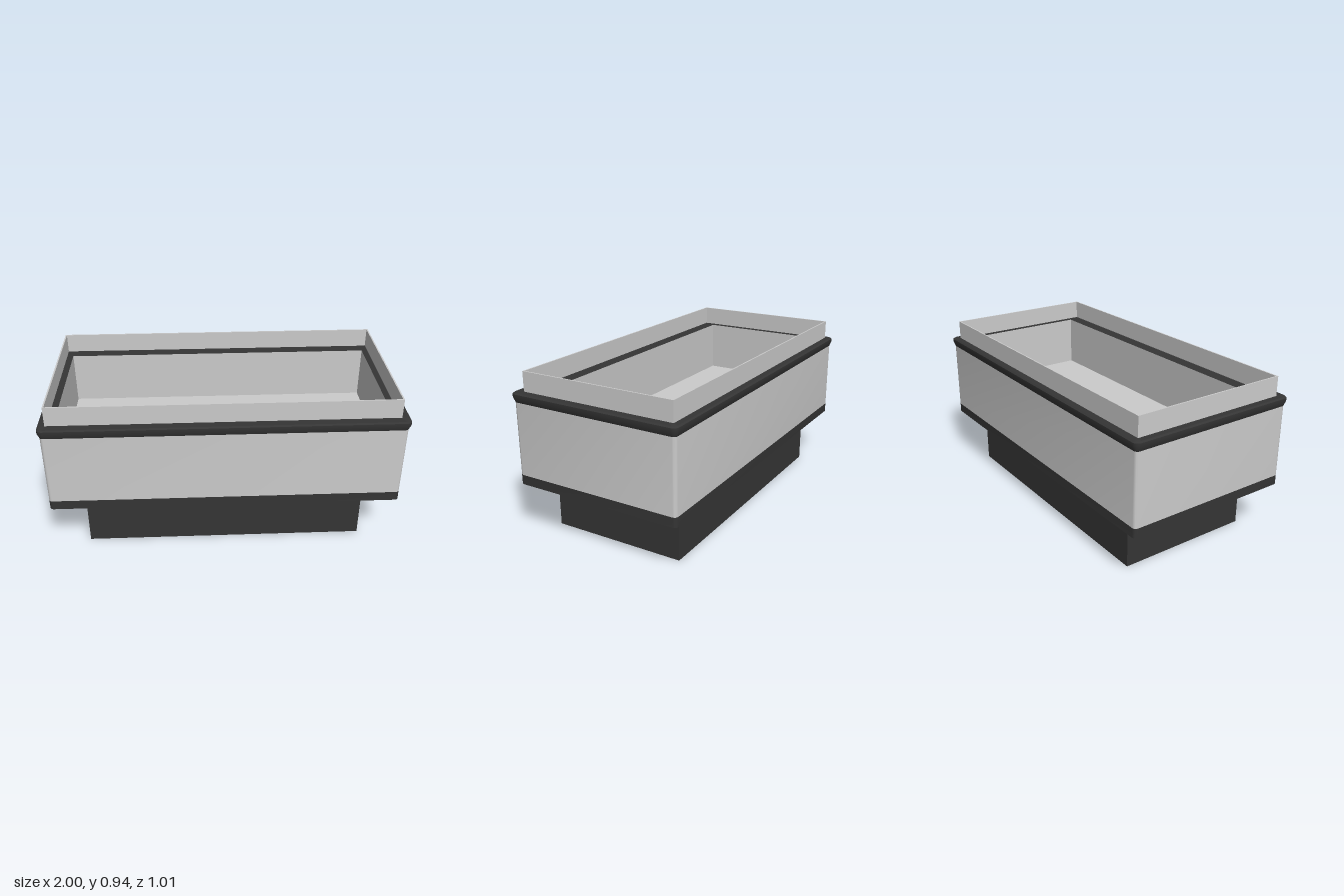
import * as THREE from 'three';
import { toCreasedNormals } from 'three/addons/utils/BufferGeometryUtils.js';

const CORNER_STEPS = 4;

// Rounded rectangle ring at height y: [y, halfX, halfZ, cornerRadius, centreX, centreZ]
function ring([y, hx, hz, r = 0, cx = 0, cz = 0]) {
  const points = [];
  for (let q = 0; q < 4; q++) {
    const sx = q === 0 || q === 3 ? 1 : -1;
    const sz = q < 2 ? 1 : -1;
    for (let k = 0; k <= CORNER_STEPS; k++) {
      const a = (q + k / CORNER_STEPS) * Math.PI / 2;
      points.push(new THREE.Vector3(
        cx + sx * (hx - r) + r * Math.cos(a), y, cz + sz * (hz - r) + r * Math.sin(a)));
    }
  }
  return points;
}

// Skin joining the rings in order; outside goes up, inside goes down
function loft(sections) {
  const rings = sections.map(ring);
  const positions = [];
  const tri = new THREE.Triangle();
  const face = (a, b, c) => {
    if (tri.set(a, b, c).getArea() > 1e-9) {
      for (const p of [a, b, c]) positions.push(p.x, p.y, p.z);
    }
  };
  for (let s = 0; s < rings.length - 1; s++) {
    const lo = rings[s], hi = rings[s + 1];
    for (let i = 0; i < lo.length; i++) {
      const j = (i + 1) % lo.length;
      face(lo[i], hi[i], lo[j]);
      face(lo[j], hi[i], hi[j]);
    }
  }
  const geometry = new THREE.BufferGeometry();
  geometry.setAttribute('position', new THREE.Float32BufferAttribute(positions, 3));
  return toCreasedNormals(geometry, 0.6);
}

export function createModel() {
  const group = new THREE.Group();
  const grey = new THREE.MeshStandardMaterial({ color: 0xcccccc });
  const dark = new THREE.MeshStandardMaterial({ color: 0x353535 });
  const add = (name, geometry, material) => {
    const mesh = new THREE.Mesh(geometry, material);
    mesh.name = name;
    group.add(mesh);
    return mesh;
  };

  // Plinth
  add('plinth', new THREE.BoxGeometry(1.596, 0.305, 0.79), dark).position.set(0, 0.1525, 0.003);

  // Lower band with closed underside
  add('lowerBand', loft([
    [0.305, 0, 0], [0.305, 0.988, 0.495, 0.02], [0.36, 0.988, 0.495, 0.02],
  ]), dark);

  // Outer wall panels
  add('outerWall', loft([
    [0.36, 0.988, 0.495, 0.02], [0.772, 0.988, 0.495, 0.02],
  ]), grey);

  // Rim: flared outer lip and flat ledge running inwards
  add('rim', loft([
    [0.772, 0.988, 0.495, 0.02],
    [0.8, 1, 0.506, 0.03],
    [0.819, 1, 0.506, 0.03],
    [0.826, 0.992, 0.498, 0.028],
    [0.826, 0.912, 0.378, 0, -0.002, -0.008],
  ]), dark);

  // Basin: inner walls and floor
  add('basin', loft([
    [0.826, 0.912, 0.378, 0, -0.002, -0.008],
    [0.52, 0.912, 0.378, 0, -0.002, -0.008],
    [0.52, 0, 0, 0, -0.002, -0.008],
  ]), grey);

  // Thin upstanding screen around the ledge
  add('screen', loft([
    [0.826, 0.956, 0.459, 0, -0.003, -0.006],
    [0.937, 0.956, 0.459, 0, -0.003, -0.006],
    [0.937, 0.948, 0.451, 0, -0.003, -0.006],
    [0.826, 0.948, 0.451, 0, -0.003, -0.006],
  ]), grey);

  return group;
}
